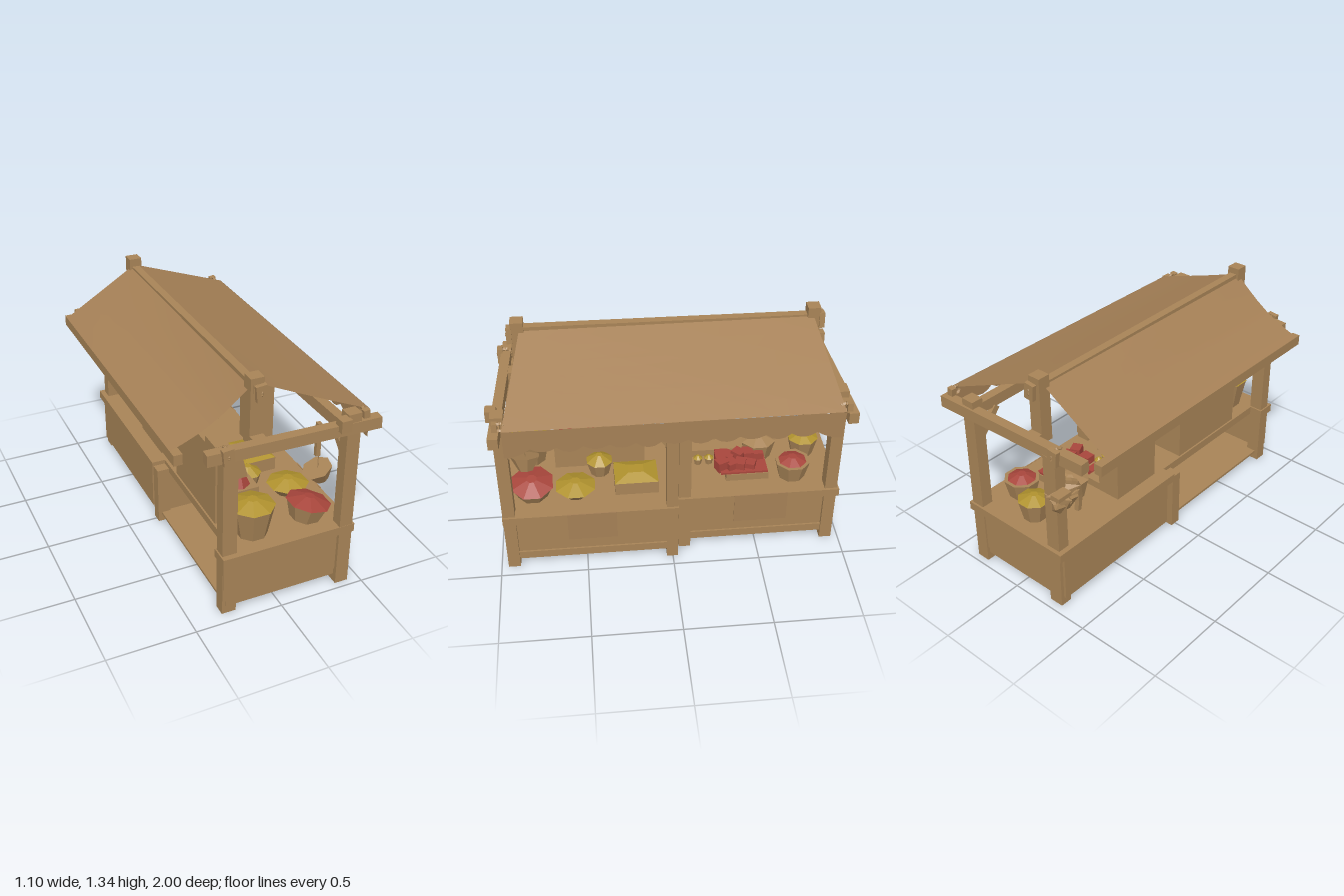
import * as THREE from 'three';
import { ParametricGeometry } from 'three/addons/geometries/ParametricGeometry.js';

const mat = (name, color, extra = {}) =>
  Object.assign(new THREE.MeshStandardMaterial({ color, ...extra }), { name });

export function createModel() {
  const root = new THREE.Group();
  root.name = 'marketStall';
  const wood = mat('wood', 0xa88457, { flatShading: true });
  const cloth = mat('cloth', 0xa58056, { side: THREE.DoubleSide });
  const red = mat('redGoods', 0xa8463c, { flatShading: true });
  const yellow = mat('yellowGoods', 0xb0922e, { flatShading: true });

  const add = (name, geo, m = wood, pos = [0, 0, 0], rot = [0, 0, 0]) => {
    const mesh = new THREE.Mesh(geo, m);
    mesh.name = name;
    mesh.position.set(...pos);
    mesh.rotation.set(...rot);
    root.add(mesh);
    return mesh;
  };
  // Box given by its min and max on each axis
  const box = (name, x0, x1, y0, y1, z0, z1, m = wood, rot) =>
    add(name, new THREE.BoxGeometry(x1 - x0, y1 - y0, z1 - z0), m,
      [(x0 + x1) / 2, (y0 + y1) / 2, (z0 + z1) / 2], rot);
  // Square bar between two points
  const bar = (name, a, b, w, h = w) => {
    const A = new THREE.Vector3(...a), B = new THREE.Vector3(...b);
    const mesh = add(name, new THREE.BoxGeometry(w, h, A.distanceTo(B)));
    mesh.position.copy(A).add(B).multiplyScalar(0.5);
    mesh.lookAt(B);
  };
  const T = 0.385; // counter height

  // Counters: xl, xr outer sides; z0, z1 ends; top reaches back to xt
  const counter = (name, xl, xr, z0, z1, xt) => {
    box(name + 'Top', xt, xr + 0.015, 0.335, T, z0 - 0.012, z1 + 0.012);
    box(name + 'Floor', xl + 0.02, xr - 0.03, 0.045, 0.06, z0 + 0.02, z1 - 0.02);
    box(name + 'FrontPanel', xr - 0.045, xr - 0.02, 0.05, 0.335, z0 + 0.03, z1 - 0.03);
    box(name + 'FrontSkirting', xr - 0.03, xr - 0.01, 0.05, 0.1, z0 + 0.05, z1 - 0.05);
    for (const z of [z0 + 0.03, z1 - 0.03])
      box(name + 'EndPanel', xl + 0.02, xr - 0.02, 0.05, 0.335, z - 0.012, z + 0.012);
  };
  counter('frontCounter', -0.32, 0.43, -0.02, 0.95, -0.25);
  counter('backCounter', -0.32, 0.36, -0.96, -0.04, -0.33);
  box('frontCounterEndCap', -0.33, -0.25, 0.335, T, 0.85, 0.962);
  box('frontCounterEndBoard', -0.32, 0.36, 0.09, 0.335, 0.925, 0.94);
  box('backCounterEndBoard', -0.28, 0.32, 0.09, 0.335, -0.95, -0.935);
  box('backCounterRearPanel', -0.315, -0.29, 0.05, 0.335, -0.93, -0.07);
  box('frontCounterCloth', 0.441, 0.448, 0.2, T + 0.002, 0.32, 0.6, cloth);
  box('backCounterCloth', 0.371, 0.378, 0.19, T + 0.002, -0.67, -0.36, cloth);

  // Posts and short legs: x0, x1, height, z0, z1
  for (const [x0, x1, h, z0, z1] of [
    [0.355, 0.432, 1.08, 0.89, 0.96], [-0.322, -0.24, 0.97, 0.86, 0.93],
    [0.355, 0.432, 0.98, -0.03, 0.035], [-0.322, -0.245, 0.36, -0.03, 0.035],
    [0.28, 0.36, 1.07, -0.96, -0.89], [-0.3, -0.215, 0.97, -0.95, -0.88],
    [0.28, 0.36, 0.98, -0.11, -0.04],
  ]) box('post', x0, x1, 0, h, z0, z1);

  // Roof frame
  bar('frontCrossBeam', [-0.405, 0.985, 0.895], [0.55, 1.0, 0.945], 0.055, 0.066);
  bar('backCrossBeam', [-0.47, 0.985, -0.91], [0.51, 1.0, -0.955], 0.055, 0.066);
  bar('frontEaveRail', [0.37, 0.99, 0.93], [0.33, 0.99, -0.93], 0.055, 0.065);
  box('rearEaveRail', -0.55, -0.502, 0.955, 1.015, -0.88, 0.85);
  bar('ridgePole', [-0.105, 1.282, 0.85], [-0.105, 1.27, -0.87], 0.045);
  for (const z of [-0.84, 0.81]) {
    box('ridgePost', -0.142, -0.068, 0.96, 1.34, z - 0.036, z + 0.036);
    box('ridgeFoot', -0.142, -0.068, 0.96, 1.02, Math.min(z, z * 1.1), Math.max(z, z * 1.1));
  }

  // Rope lashings
  for (const [x, y, z, s] of [[-0.3, 0.995, 0.9, 1], [-0.3, 0.995, -0.92, 1], [-0.09, 1.26, 0.82, 1],
    [-0.09, 1.26, -0.85, 1], [0.47, 1.05, 0.9, 0.6], [0.47, 1.05, -0.9, 0.6]]) {
    for (const a of [-0.3, 0.3])
      add('lashing', new THREE.TorusGeometry(0.04 * s, 0.009, 4, 7), wood, [x, y, z + Math.sign(z) * 0.008], [0, Math.PI / 2, a]);
    box('lashingKnot', x - 0.03 * s, x + 0.03 * s, y - 0.045 * s, y + 0.045 * s,
      z + Math.sign(z) * 0.035 - 0.015, z + Math.sign(z) * 0.035 + 0.015, wood, [0, 0, 0.1]);
  }

  // Diagonal braces under the front eave
  for (const [x, z, d] of [[0.39, 0.91, -1], [0.39, 0.0, 1], [0.32, -0.08, -1], [0.32, -0.92, 1]])
    bar('brace', [x, 0.78, z], [x - 0.01, 0.96, z + d * 0.14], 0.03, 0.035);

  // Canopy sheets from ridge to eave, sagging more towards the front end
  const sheet = (name, r, e, sag) => add(name, new ParametricGeometry((u, v, p) => {
    const L = THREE.MathUtils.lerp;
    const z = L(L(r[2], e[2], v), L(r[3], e[3], v), u);
    p.set(L(r[0], e[0], v), L(r[1], e[1], v) - sag * u * Math.sin(Math.PI * v), z);
  }, 6, 6), cloth);
  sheet('frontCanopy', [-0.08, 1.283, -0.84, 0.8], [0.515, 1.05, -0.91, 0.9], 0.004);
  sheet('rearCanopy', [-0.12, 1.285, -0.83, 0.81], [-0.553, 1.02, -0.83, 0.81], 0.036);

  // Scalloped valance
  const val = new THREE.Shape();
  val.moveTo(-0.9, 1.05);
  val.lineTo(-0.9, 0.88);
  const n = 13, w = 1.8 / n;
  for (let i = 0; i < n; i++) {
    const x = -0.9 + i * w, drop = 0.885 + 0.012 * Math.sin(i * 2.3);
    val.quadraticCurveTo(x + w / 2, drop - 0.01, x + w, i === n - 1 ? 0.88 : 0.93);
  }
  val.lineTo(0.91, 1.05);
  add('valance', new THREE.ShapeGeometry(val, 4), cloth, [0.517, 0, 0], [0, Math.PI / 2, 0]);

  // Stepped shelves; side outline in x and y, extruded along z
  const shelf = (name, z0, z1, pts) => {
    const s = new THREE.Shape(pts.map(p => new THREE.Vector2(...p)));
    add(name, new THREE.ExtrudeGeometry(s, { depth: z1 - z0, bevelEnabled: false }), wood, [0, 0, z0]);
  };
  shelf('frontShelf', 0.13, 0.66, [[-0.24, T], [0.02, T], [0.02, 0.555], [-0.14, 0.555], [-0.14, 0.66],
    [-0.1, 0.66], [-0.1, 0.73], [-0.16, 0.73], [-0.16, 0.83], [-0.24, 0.83]]);
  for (const z of [0.13, 0.64]) shelf('shelfSide', z, z + 0.02, [[-0.16, 0.64], [-0.05, 0.64], [-0.08, 0.76],
    [-0.14, 0.76], [-0.14, 0.83], [-0.16, 0.83]]);
  box('shelfHeadLeft', -0.24, -0.16, 0.83, 0.87, 0.53, 0.66);
  box('shelfHeadRight', -0.24, -0.16, 0.83, 0.87, 0.13, 0.26);
  shelf('backShelf', -0.42, -0.1, [[-0.24, T], [0.0, T], [0.0, 0.43], [-0.1, 0.43], [-0.1, 0.53], [-0.15, 0.53],
    [-0.15, 0.66], [-0.09, 0.66], [-0.09, 0.68], [-0.18, 0.68], [-0.18, 0.84], [-0.24, 0.84]]);
  for (let i = 0; i < 4; i++) box('shelfCup', -0.15, -0.1, 0.68, 0.7, -0.36 + i * 0.06, -0.32 + i * 0.06);

  // Baskets with a low heap of goods; fill is the heap width against the rim
  const basket = (name, x, z, y, h, rb, rt, heap, m, rot = [0, 0, 0], fill = 1.02) => {
    const g = new THREE.Group();
    g.name = name;
    const tub = new THREE.Mesh(new THREE.CylinderGeometry(rt, rb, h, 8), wood);
    tub.name = 'tub';
    tub.position.y = h / 2;
    const top = new THREE.Mesh(new THREE.CylinderGeometry(rt * 0.25, rt * fill, heap, 8), m);
    top.name = 'heap';
    top.position.y = h + heap / 2;
    tub.rotation.y = top.rotation.y = Math.PI / 8;
    g.add(tub, top);
    g.position.set(x, y, z);
    g.rotation.set(...rot);
    root.add(g);
  };
  basket('tallBasket', -0.09, 0.8, T, 0.18, 0.085, 0.122, 0.035, yellow);
  basket('tiltedBasket', 0.235, 0.79, T - 0.005, 0.1, 0.085, 0.12, 0.035, red, [0, 0, -0.19], 1.06);
  basket('wideBowl', 0.26, 0.545, T, 0.06, 0.065, 0.118, 0.035, yellow);
  basket('smallBasket', 0.08, 0.4, T, 0.09, 0.055, 0.078, 0.04, yellow);
  basket('brownBasket', 0.0, -0.55, T, 0.12, 0.08, 0.108, 0.03, wood);
  basket('redBasket', 0.21, -0.72, T, 0.108, 0.078, 0.104, 0.026, red, [0, 0, 0], 0.8);
  basket('yellowBasket', 0.01, -0.82, T, 0.12, 0.065, 0.092, 0.03, yellow);
  // Goods on the shelves
  add('shelfRedPile', new THREE.CylinderGeometry(0.035, 0.066, 0.068, 6), red, [-0.07, 0.589, 0.585]);
  add('shelfRedPile', new THREE.CylinderGeometry(0.028, 0.042, 0.038, 6), red, [-0.06, 0.574, 0.44]);
  basket('shelfBrownBowl', -0.06, 0.33, 0.555, 0.02, 0.05, 0.06, 0.035, wood);
  basket('shelfBrownBowl', -0.06, 0.2, 0.555, 0.03, 0.05, 0.06, 0.04, wood);
  for (let i = 0; i < 3; i++) basket('smallBowl', 0.06, -0.12 - i * 0.065, T, 0.04, 0.02, 0.028, 0.02, i > 0 ? yellow : wood);

  // Crates
  box('yellowCrate', 0.1, 0.3, T, 0.465, 0.07, 0.32);
  add('crateHeap', new THREE.CylinderGeometry(0.05, 0.141, 0.028, 4).rotateY(Math.PI / 4).scale(1, 1, 1.25),
    yellow, [0.2, 0.479, 0.195]);
  box('redCrate', 0.06, 0.24, T, 0.43, -0.58, -0.33);
  box('redCrateFill', 0.065, 0.235, 0.43, 0.442, -0.575, -0.3, red);
  box('redBlock', 0.0, 0.05, T, 0.435, -0.37, -0.29, red);
  for (let i = 0; i < 9; i++) {
    const z = -0.31 - (i % 5) * 0.055, x = 0.1 + (i % 2) * 0.08;
    box('redFruit', x - 0.034, x + 0.034, 0.43, 0.475 + (i % 3) * 0.01, z - 0.03, z + 0.03, red, [0, i * 0.4, 0]);
  }

  // Hanging bowl with its rod
  add('hangingRod', new THREE.BoxGeometry(0.025, 0.2, 0.025), wood, [0.282, 0.87, 0.8]);
  add('hangingCord', new THREE.CylinderGeometry(0.003, 0.003, 0.1, 4), wood, [0.285, 0.74, 0.81]);
  add('hangingBowl', new THREE.CylinderGeometry(0.085, 0.042, 0.08, 7), wood, [0.295, 0.66, 0.81], [0, 0, 0.4]);

  // Bunch hung on the rear corner post
  add('bunchCord', new THREE.TubeGeometry(new THREE.CatmullRomCurve3([[-0.27, 0.78, -0.86], [-0.29, 0.75, -0.8],
    [-0.28, 0.66, -0.77], [-0.27, 0.55, -0.77]].map(p => new THREE.Vector3(...p))), 8, 0.02, 5), wood);
  for (let i = 0; i < 9; i++) {
    const a = i * 2.4;
    add('bunchBulb', new THREE.ConeGeometry(0.04, 0.085, 5), wood,
      [-0.29 + 0.05 * Math.cos(a), 0.78 - i * 0.013, -0.9 + 0.07 * Math.sin(a)], [Math.sin(a) * 1.2, 0, -Math.cos(a) * 1.2]);
  }
  add('hangingJar', new THREE.CylinderGeometry(0.055, 0.03, 0.09, 6), wood, [-0.28, 0.67, -0.86], [0.2, 0, 0.2]);
  box('bunchPeg', -0.36, -0.3, 0.76, 0.785, -0.99, -0.9);
  box('beamPeg', 0.3, 0.36, 1.0, 1.07, 0.93, 0.99);
  return root;
}
